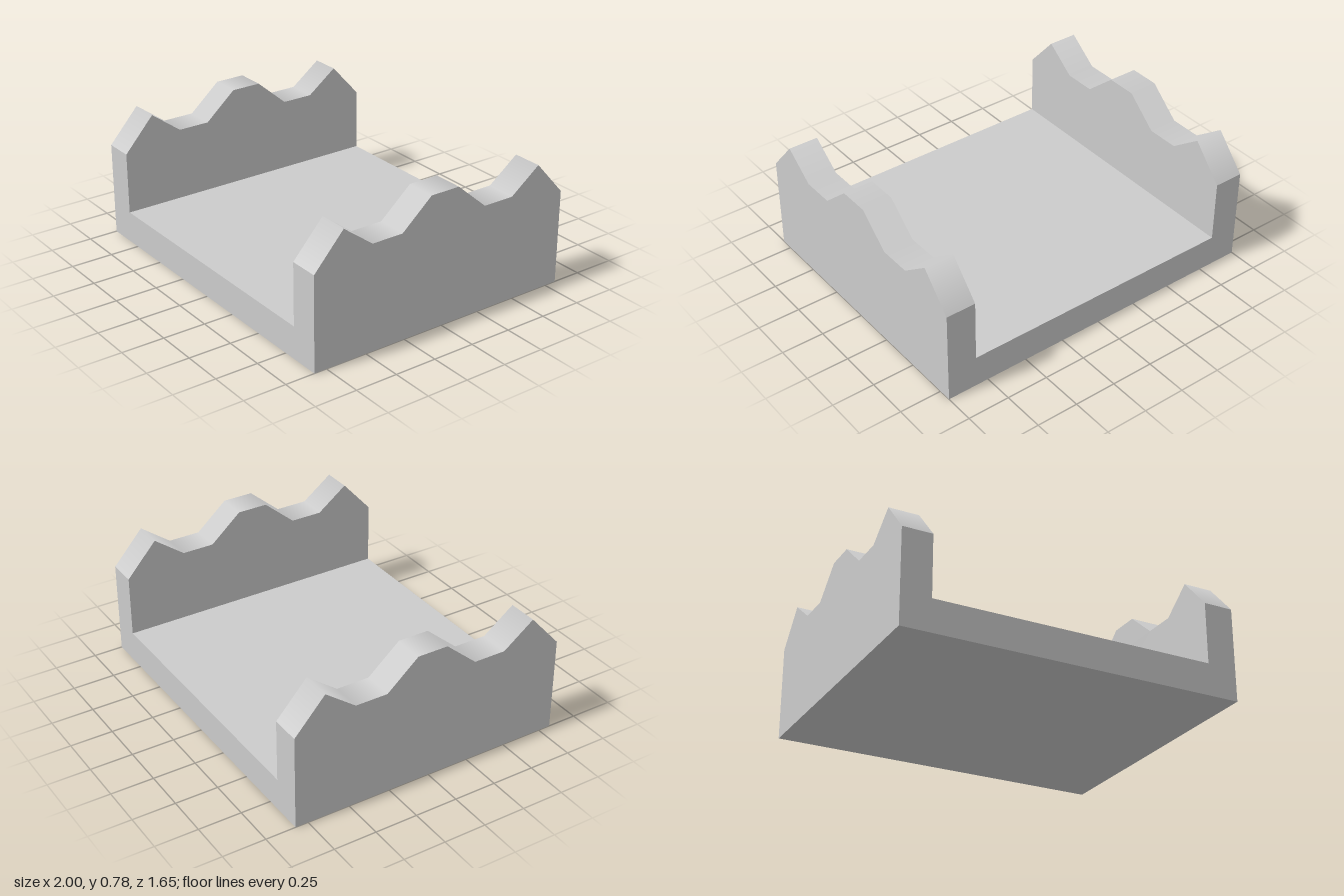
import * as THREE from 'three';

const HALF_DEPTH = 0.825, INNER = 0.825, WALL = 0.175, FLOOR = 0.19;

// Half of the wavy rim, from the middle crest to the end: [distance from centre, height]
const half = [[0.09, 0.78], [0.275, 0.62], [0.465, 0.62], [0.645, 0.755], [HALF_DEPTH, 0.555]];
const rim = [...half.map(([z, y]) => [-z, y]).reverse(), ...half];

// Rim normals blended across neighbouring segments, so the rim shades as one smooth strip
function rimNormals() {
  const segments = rim.slice(1).map(([z, y], i) =>
    new THREE.Vector3(rim[i][1] - y, z - rim[i][0], 0).normalize());
  return rim.map((_, i) => {
    const n = new THREE.Vector3();
    if (i > 0) n.add(segments[i - 1]);
    if (i < segments.length) n.add(segments[i]);
    return n.normalize();
  });
}

function wallGeometry() {
  const outline = [[-HALF_DEPTH, 0], [HALF_DEPTH, 0], ...[...rim].reverse()];
  const shape = new THREE.Shape(outline.map(([z, y]) => new THREE.Vector2(z, y)));
  const geometry = new THREE.ExtrudeGeometry(shape, { depth: WALL, bevelEnabled: false });

  // Only the upward-facing strip is smoothed; sides and ends stay crisp
  const { position, normal } = geometry.attributes;
  const normals = rimNormals();
  for (let i = 0; i < position.count; i++) {
    if (normal.getY(i) < 0.1) continue;
    const k = rim.findIndex(([z]) => Math.abs(z - position.getX(i)) < 1e-4);
    normal.setXYZ(i, normals[k].x, normals[k].y, 0);
  }
  return geometry.translate(0, 0, -WALL / 2).rotateY(-Math.PI / 2);
}

export function createModel() {
  const group = new THREE.Group();
  group.name = 'cradle';
  const material = new THREE.MeshStandardMaterial({ color: 0xcccccc });

  // Flat floor between the walls
  const floor = new THREE.Mesh(new THREE.BoxGeometry(2 * INNER, FLOOR, 2 * HALF_DEPTH), material);
  floor.name = 'floor';
  floor.position.y = FLOOR / 2;
  group.add(floor);

  // Matching side walls
  const geometry = wallGeometry();
  for (const [name, side] of [['leftWall', 1], ['rightWall', -1]]) {
    const wall = new THREE.Mesh(geometry, material);
    wall.name = name;
    wall.position.x = side * (INNER + WALL / 2);
    group.add(wall);
  }
  return group;
}
